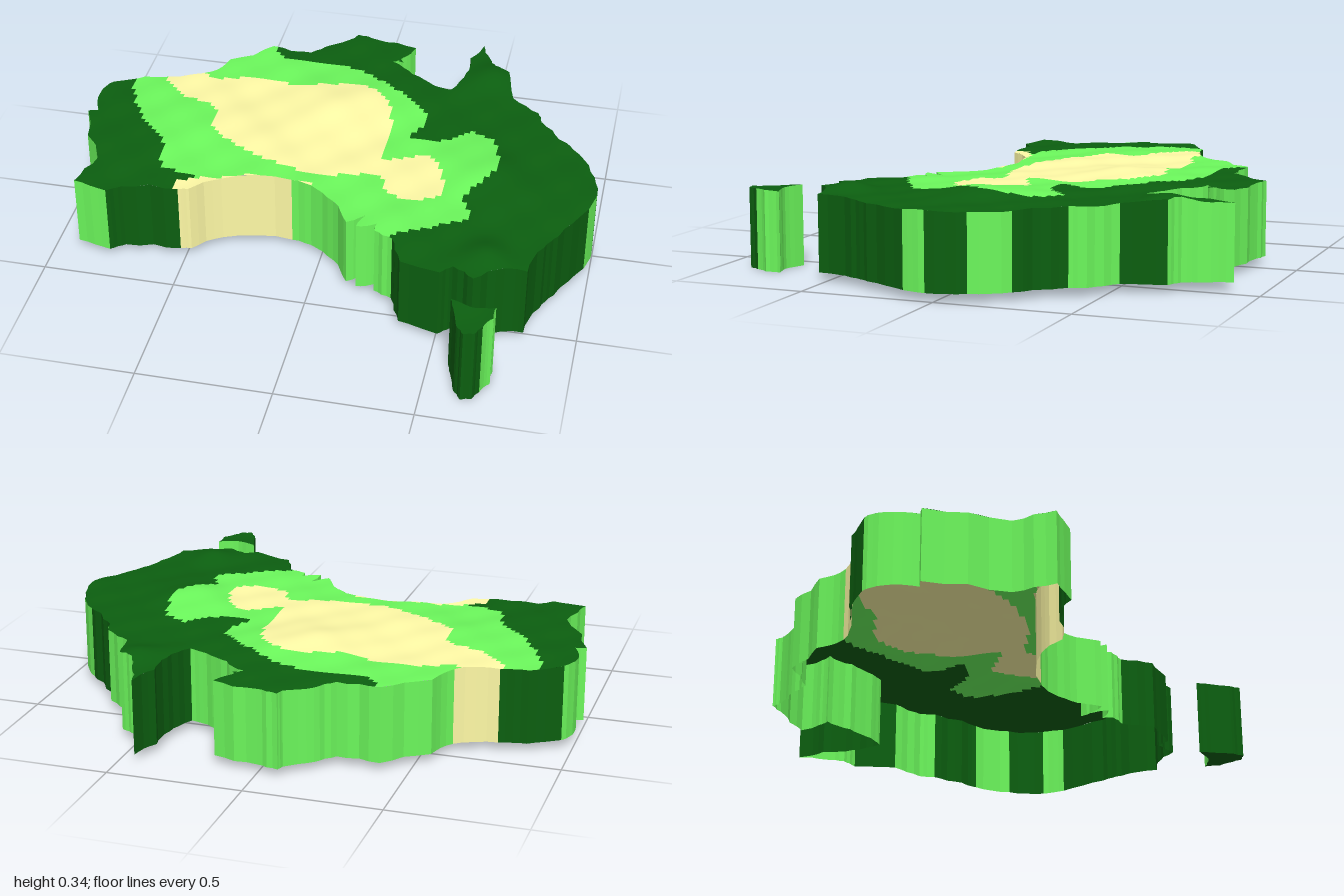
import * as THREE from 'three';

const COLORS = { forest: 0x0c5f10, scrub: 0x6cf85c, sand: 0xfffaa6 };
const CELL = 0.02;

// Coast legs, clockwise from the north-west: wall colour, then x, z pairs in hundredths
const MAINLAND = [
  ['forest', [-96, -31, -85, -38]],
  ['sand', [-75, -40]],
  ['scrub', [-60, -46, -55, -57, -40, -70, -24, -69, -18, -76, -9, -83, -8, -86, 0, -84, 17, -81, 13, -73, 10, -69,
    19, -62, 29, -56]],
  ['forest', [36, -54, 40, -66, 40, -78]],
  ['scrub', [44, -89, 48, -79, 51, -72]],
  ['forest', [57, -69]],
  ['scrub', [61, -53, 72, -45]],
  ['forest', [74, -39, 82, -29]],
  ['scrub', [88, -24]],
  ['forest', [96, -11]],
  ['scrub', [100, 3]],
  ['forest', [98, 12, 89, 30, 85, 38, 81, 53, 73, 54, 63, 61, 55, 56, 51, 60, 36, 56]],
  ['scrub', [31, 44, 24, 41, 24, 37, 17, 40, 21, 29, 13, 38, 8, 29, -2, 21]],
  ['sand', [-12, 18, -38, 22, -48, 31]],
  ['forest', [-52, 32, -73, 34]],
  ['scrub', [-78, 38, -91, 35, -87, 19, -100, -10, -96, -11, -99, -23]],
];
const ISLAND = [
  ['scrub', [57, 72, 65, 75, 73, 73, 73, 79]],
  ['forest', [70, 84, 68, 88, 64, 89, 61, 85, 59, 78]],
];

const toPoints = (flat) => Array.from({ length: flat.length / 2 },
  (_, i) => new THREE.Vector2(flat[2 * i] / 100, flat[2 * i + 1] / 100));

// Closed smooth outline through a few points
function makeZone(flat) {
  const knots = toPoints(flat).map((p) => new THREE.Vector3(p.x, p.y, 0));
  return new THREE.CatmullRomCurve3(knots, true).getPoints(knots.length * 4).slice(0, -1);
}

// Vegetation zones seen from above
const scrubZone = makeZone([-88, -36, -78, -10, -65, 5, -62, 19, -48, 23, -30, 45, 20, 50, 31, 42, 45, 34, 57, 25,
  52, 16, 61, 0, 58, -22, 49, -27, 39, -19, 27, -18, 30, -34, 13, -50, -5, -61, -35, -63, -45, -80, -75, -65]);
const desertZone = makeZone([-78, -46, -70, -30, -50, -20, -49, -9, -30, 5, -5, 12, 13, 9, 20, 8, 24, 17, 34, 20,
  43, 16, 42, 2, 33, -8, 19, -2, 18, -22, 13, -40, 0, -48, -22, -44, -40, -47, -60, -43, -68, -55]);

function inside(poly, x, z) {
  let hit = false;
  poly.forEach((a, i) => {
    const b = poly[(i + 1) % poly.length];
    if ((a.y > z) !== (b.y > z) && x < a.x + (b.x - a.x) * (z - a.y) / (b.y - a.y)) hit = !hit;
  });
  return hit;
}

function zoneAt(x, z) {
  const onBeach = x > -0.53 && x < -0.03 && z > 0.175 + 0.5 * (x + 0.12) ** 2;
  if (onBeach || inside(desertZone, x, z)) return 'sand';
  return inside(scrubZone, x, z) ? 'scrub' : 'forest';
}

// Relief: hills as x, z, height, radius, plus gentle ripples
const HILLS = [[-0.02, -0.36, 0.026, 0.2], [0.58, 0, 0.03, 0.15], [0.66, 0.48, 0.032, 0.09],
  [0.5, -0.66, 0.025, 0.1], [-0.6, -0.15, 0.015, 0.2], [-0.25, 0, 0.012, 0.15]];
function landHeight(x, z) {
  let y = 0.309 + 0.004 * Math.sin(11 * x + 2 * z) * Math.cos(12 * z - 3 * x) + 0.003 * Math.sin(27 * x) * Math.sin(25 * z);
  for (const [hx, hz, h, r] of HILLS) y += h * Math.exp(-((x - hx) ** 2 + (z - hz) ** 2) / (r * r));
  return y;
}
const islandHeight = (x, z) => landHeight(x, z) - 0.01;

// Splits every coast edge at a shifted midpoint, giving a jagged shore
function roughen(coast) {
  return coast.flatMap(({ p, color }, i) => {
    const q = coast[(i + 1) % coast.length].p;
    const k = 0.08 * Math.sin(i * 12.9898);
    const mid = new THREE.Vector2((p.x + q.x) / 2 - (q.y - p.y) * k, (p.y + q.y) / 2 + (q.x - p.x) * k);
    return [{ p, color }, { p: mid, color }];
  });
}
const makeCoast = (legs) =>
  roughen(roughen(legs.flatMap(([color, flat]) => toPoints(flat).map((p) => ({ p, color })))));

// Keeps the part of a polygon on one side of an axis-aligned line
function clip(poly, axis, limit, sign) {
  const out = [];
  poly.forEach((a, i) => {
    const b = poly[(i + 1) % poly.length];
    const da = (a[axis] - limit) * sign, db = (b[axis] - limit) * sign;
    if (da >= 0) out.push(a);
    if (da * db < 0) out.push(a.clone().lerp(b, da / (da - db)));
  });
  return out;
}

function makeMesh(name, color, positions, normals) {
  const geometry = new THREE.BufferGeometry();
  geometry.setAttribute('position', new THREE.Float32BufferAttribute(positions, 3));
  if (normals) geometry.setAttribute('normal', new THREE.Float32BufferAttribute(normals, 3));
  else geometry.computeVertexNormals();
  const mesh = new THREE.Mesh(geometry, new THREE.MeshStandardMaterial({ color, side: THREE.DoubleSide }));
  mesh.name = name;
  return mesh;
}

// Top surface: square cells trimmed to the coast, sorted by vegetation
function addSurface(group, outline, height) {
  const data = { forest: [[], []], scrub: [[], []], sand: [[], []] };
  const e = 0.004;
  const box = new THREE.Box2().setFromPoints(outline);
  for (let z = Math.floor(box.min.y / CELL) * CELL; z < box.max.y; z += CELL) {
    const row = clip(clip(outline, 'y', z, 1), 'y', z + CELL, -1);
    for (let x = Math.floor(box.min.x / CELL) * CELL; x < box.max.x; x += CELL) {
      let cell = clip(clip(row, 'x', x, 1), 'x', x + CELL, -1);
      if (cell.length < 3) continue;
      const area = Math.abs(THREE.ShapeUtils.area(cell));
      if (area < 1e-8) continue;
      if (area > 0.999 * CELL * CELL) {
        cell = [[0, 0], [1, 0], [1, 1], [0, 1]].map(([i, j]) => new THREE.Vector2(x + i * CELL, z + j * CELL));
      }
      const [pos, nor] = data[zoneAt(x + CELL / 2, z + CELL / 2)];
      for (const face of THREE.ShapeUtils.triangulateShape(cell, [])) {
        const tri = face.map((i) => cell[i]);
        if (THREE.ShapeUtils.area(tri) > 0) tri.reverse();
        for (const { x: px, y: pz } of tri) {
          const n = new THREE.Vector3(height(px - e, pz) - height(px + e, pz), 2 * e,
            height(px, pz - e) - height(px, pz + e)).normalize();
          pos.push(px, height(px, pz), pz);
          nor.push(n.x, n.y, n.z);
        }
      }
    }
  }
  for (const [zone, [pos, nor]] of Object.entries(data)) {
    if (pos.length) group.add(makeMesh(zone + 'Surface', COLORS[zone], pos, nor));
  }
}

// Vertical faceted coast walls
function addWalls(group, coast, height, bottom) {
  const data = { forest: [], scrub: [], sand: [] };
  coast.forEach(({ p: a, color }, i) => {
    const b = coast[(i + 1) % coast.length].p;
    const at = [a.x, height(a.x, a.y), a.y], bt = [b.x, height(b.x, b.y), b.y];
    const ab = [a.x, bottom, a.y], bb = [b.x, bottom, b.y];
    data[color].push(...at, ...bt, ...bb, ...at, ...bb, ...ab);
  });
  for (const [zone, pos] of Object.entries(data)) {
    if (pos.length) group.add(makeMesh(zone + 'CoastWall', COLORS[zone], pos));
  }
}

function makeLand(name, coast, height, bottom) {
  const group = new THREE.Group();
  group.name = name;
  addSurface(group, coast.map((c) => c.p), height);
  addWalls(group, coast, height, bottom);
  return group;
}

export function createModel() {
  const model = new THREE.Group();
  model.name = 'reliefMap';
  model.add(makeLand('mainland', makeCoast(MAINLAND), landHeight, 0.03));

  const islandCoast = makeCoast(ISLAND);
  const island = makeLand('southernIsland', islandCoast, islandHeight, 0);
  // Closed underside of the island
  const base = new THREE.Mesh(new THREE.ShapeGeometry(new THREE.Shape(islandCoast.map((c) => c.p))),
    new THREE.MeshStandardMaterial({ color: COLORS.forest, side: THREE.DoubleSide }));
  base.geometry.rotateX(Math.PI / 2);
  base.name = 'islandBase';
  island.add(base);
  model.add(island);
  return model;
}
